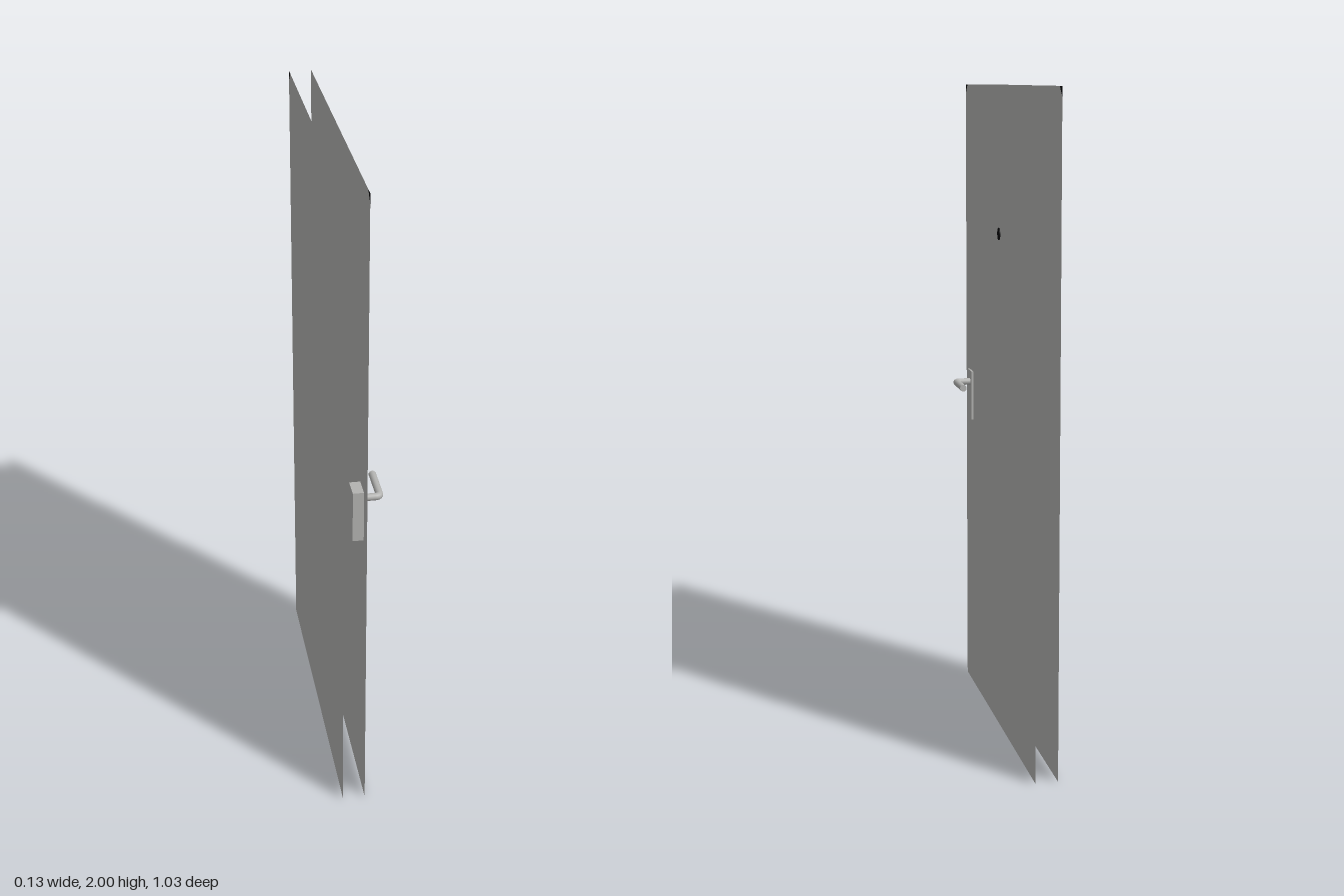
import * as THREE from 'three';

export function createModel() {
  const model = new THREE.Group();
  model.name = 'door';

  const steel = new THREE.MeshStandardMaterial({ color: 0xb3b3b1, side: THREE.DoubleSide });
  steel.name = 'grey steel';
  const black = new THREE.MeshStandardMaterial({ color: 0x060608, side: THREE.DoubleSide });
  black.name = 'black';

  const add = (name, geometry, material, x = 0, y = 0, z = 0, parent = model) => {
    const mesh = new THREE.Mesh(geometry, material);
    mesh.name = name;
    mesh.position.set(x, y, z);
    parent.add(mesh);
    return mesh;
  };

  // Two open door skins, each with a small black triangle in one top corner
  const halfWidth = 0.517, corner = 0.03;
  const skinShape = new THREE.Shape([
    new THREE.Vector2(-halfWidth, 0),
    new THREE.Vector2(halfWidth, 0),
    new THREE.Vector2(halfWidth, 2),
    new THREE.Vector2(-halfWidth + corner, 2),
    new THREE.Vector2(-halfWidth, 2 - corner),
  ]);
  const cornerShape = new THREE.Shape([
    new THREE.Vector2(-halfWidth, 2 - corner),
    new THREE.Vector2(-halfWidth + corner, 2),
    new THREE.Vector2(-halfWidth, 2),
  ]);
  for (const [side, x] of [['outer', 0.002], ['inner', -0.066]]) {
    const turn = side === 'outer' ? Math.PI / 2 : -Math.PI / 2;
    add(side + 'Skin', new THREE.ShapeGeometry(skinShape), steel, x).rotation.y = turn;
    add(side + 'CornerMark', new THREE.ShapeGeometry(cornerShape), black, x).rotation.y = turn;
  }

  // Peephole through the outer skin
  const peephole = new THREE.CylinderGeometry(0.019, 0.019, 0.026, 12).rotateZ(Math.PI / 2);
  add('peephole', peephole, black, -0.009, 1.557, -0.007);

  // Handle: back plate and bent lever
  const handle = new THREE.Group();
  handle.name = 'handle';
  model.add(handle);
  add('backPlate', new THREE.BoxGeometry(0.039, 0.16, 0.064), steel, -0.011, 0.99, 0.431, handle);

  const v = (x, z) => new THREE.Vector3(x, 1.033, z);
  const path = new THREE.CurvePath();
  path.add(new THREE.LineCurve3(v(0, 0.428), v(0.041, 0.428)));
  path.add(new THREE.QuadraticBezierCurve3(v(0.041, 0.428), v(0.055, 0.428), v(0.055, 0.414)));
  path.add(new THREE.LineCurve3(v(0.055, 0.414), v(0.055, 0.3)));
  add('lever', new THREE.TubeGeometry(path, 40, 0.011, 16), steel, 0, 0, 0, handle);
  add('leverEnd', new THREE.CircleGeometry(0.011, 16).rotateY(Math.PI), steel, 0.055, 1.033, 0.3, handle);

  return model;
}
